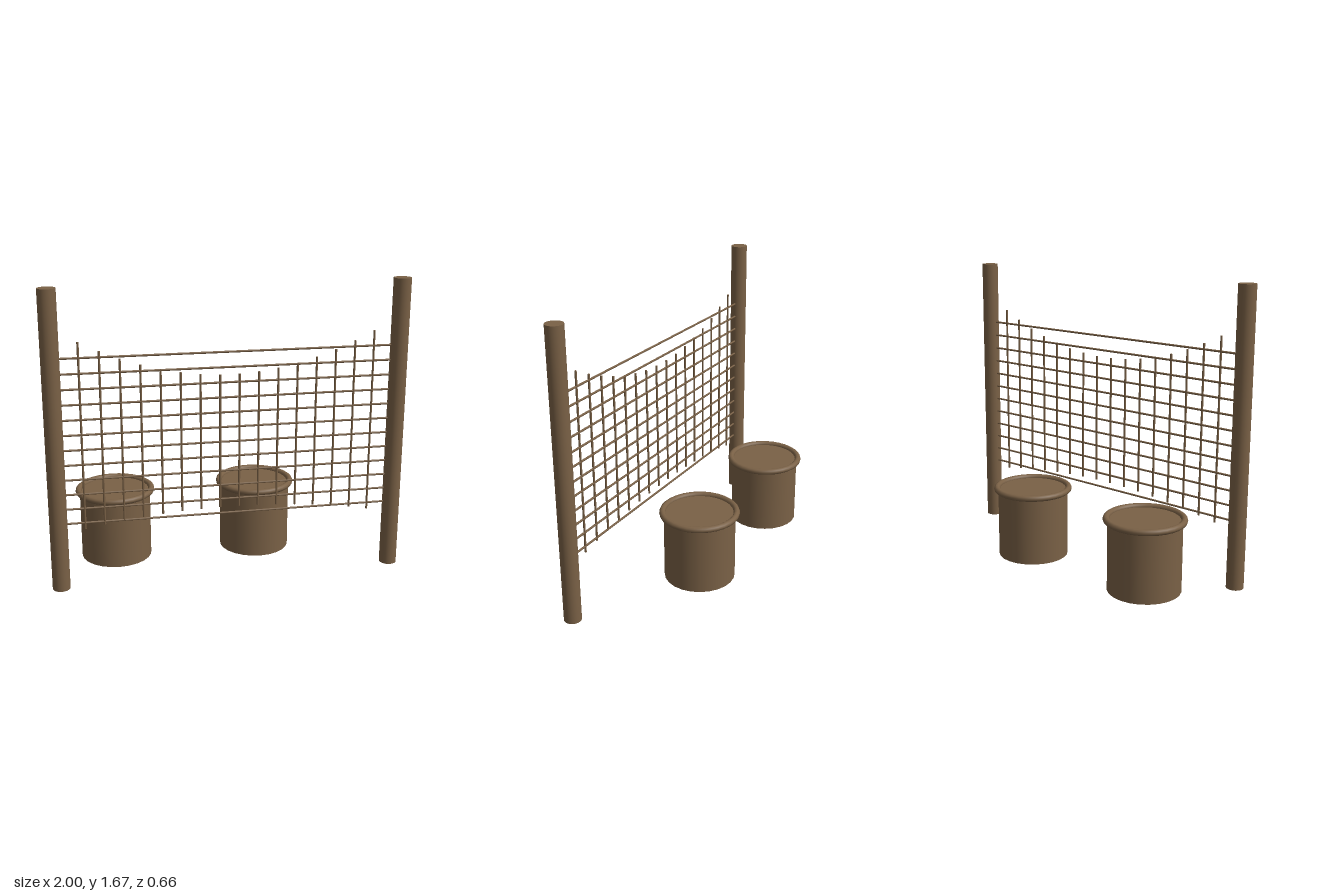
import * as THREE from 'three';

export function createModel() {
  const model = new THREE.Group();
  const wood = new THREE.MeshStandardMaterial({ color: 0x7a6146 });
  const NET_Z = 0.28;

  const add = (parent, name, geometry, x, y, z) => {
    const mesh = new THREE.Mesh(geometry, wood);
    mesh.name = name;
    mesh.position.set(x, y, z);
    parent.add(mesh);
    return mesh;
  };

  // Two upright posts
  const postHeight = 1.675;
  const postGeometry = new THREE.CylinderGeometry(0.049, 0.049, postHeight, 20);
  for (const side of [-1, 1]) {
    add(model, side > 0 ? 'leftPost' : 'rightPost', postGeometry, side * 0.951, postHeight / 2, NET_Z);
  }

  // Net strung between the posts
  const net = new THREE.Group();
  net.name = 'net';
  model.add(net);

  // Horizontal cords, evenly spaced
  const rows = 12;
  const rowGeometry = new THREE.CylinderGeometry(0.006, 0.006, 1.86, 8).rotateZ(Math.PI / 2);
  for (let i = 0; i < rows; i++) {
    add(net, 'horizontalCord', rowGeometry, 0, 0.381 + (i * 0.924) / (rows - 1), NET_Z);
  }

  // Vertical cords, longer towards the posts
  const columns = 16;
  for (let i = 0; i < columns; i++) {
    const t = (2 * i) / (columns - 1) - 1;
    const top = 1.18 + 0.21 * t * t;
    const bottom = 0.418 - 0.073 * t * t;
    const cord = new THREE.CylinderGeometry(0.006, 0.006, top - bottom, 8);
    add(net, 'verticalCord', cord, t * 0.805, (top + bottom) / 2, NET_Z);
  }

  // Two drums, each with a rounded rim around a flat lid
  const bodyGeometry = new THREE.CylinderGeometry(0.205, 0.205, 0.405, 24);
  const rimGeometry = new THREE.TorusGeometry(0.212, 0.018, 10, 32).rotateX(Math.PI / 2);
  for (const x of [-0.61, 0.225]) {
    const drum = new THREE.Group();
    drum.name = 'drum';
    drum.position.set(x, 0, -0.1);
    add(drum, 'drumBody', bodyGeometry, 0, 0.2175, 0);
    add(drum, 'drumRim', rimGeometry, 0, 0.421, 0);
    model.add(drum);
  }

  return model;
}
